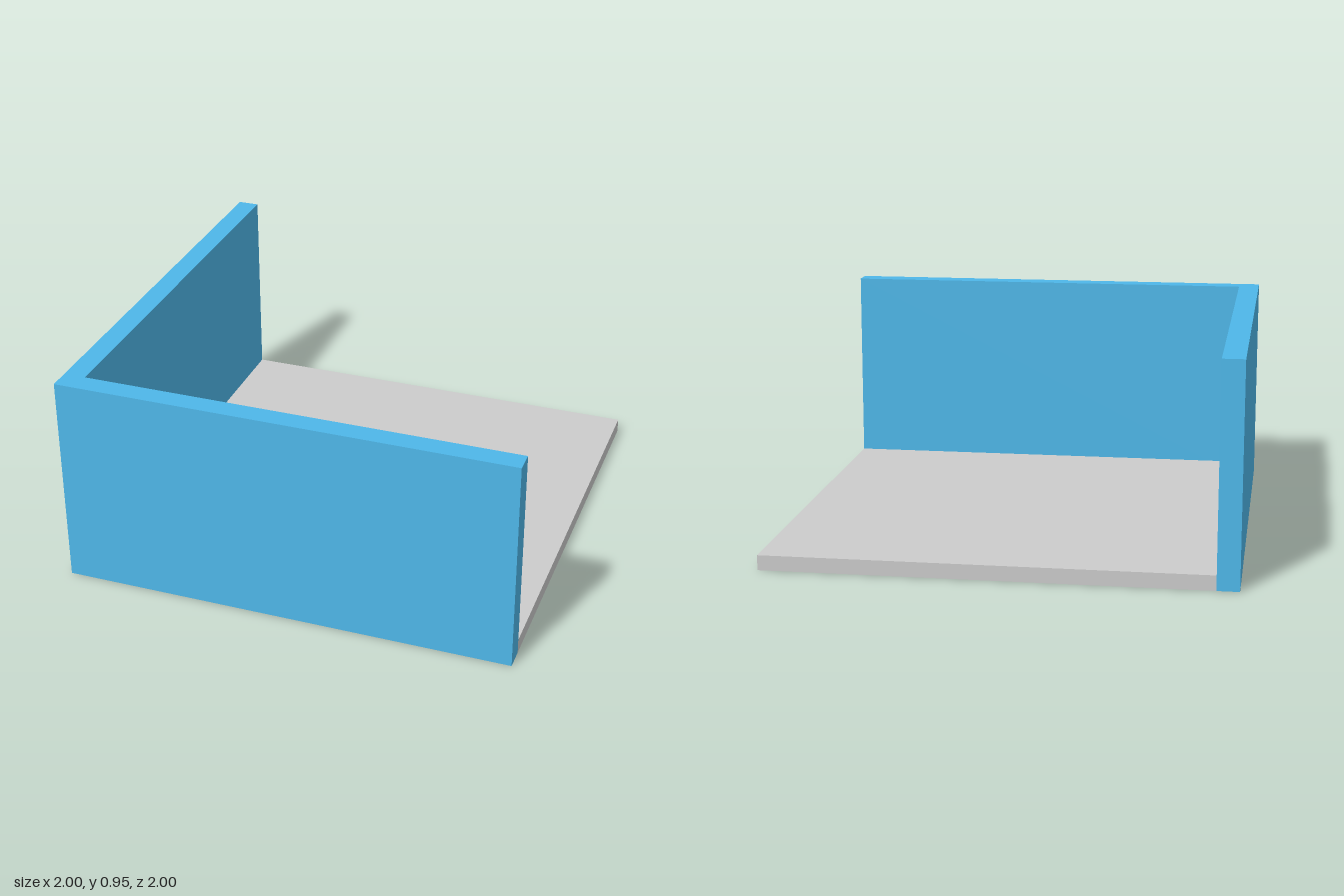
import * as THREE from 'three';

const HEIGHT = 0.95;   // wall height
const WALL = 0.095;    // wall thickness
const FLOOR = 0.065;   // floor slab thickness

export function createModel() {
  const model = new THREE.Group();
  model.name = 'cornerRoom';
  const blue = new THREE.MeshStandardMaterial({ color: 0x4eb7e9 });
  const grey = new THREE.MeshStandardMaterial({ color: 0xcccccc });

  // Extrudes a plan outline of [x, z] corners upward from the ground
  const addSlab = (name, plan, height, material) => {
    const shape = new THREE.Shape(plan.map(([x, z]) => new THREE.Vector2(x, -z)));
    const geometry = new THREE.ExtrudeGeometry(shape, { depth: height, bevelEnabled: false });
    geometry.rotateX(-Math.PI / 2);
    const mesh = new THREE.Mesh(geometry, material);
    mesh.name = name;
    model.add(mesh);
  };

  const inner = 1 - WALL;

  // L-shaped wall along the front and the right side
  addSlab('cornerWall', [
    [-1, 1], [1, 1], [1, inner], [-inner, inner], [-inner, -1], [-1, -1],
  ], HEIGHT, blue);

  // Floor fitted inside the corner
  addSlab('floor', [
    [-inner, inner], [1, inner], [1, -1], [-inner, -1],
  ], FLOOR, grey);

  return model;
}
